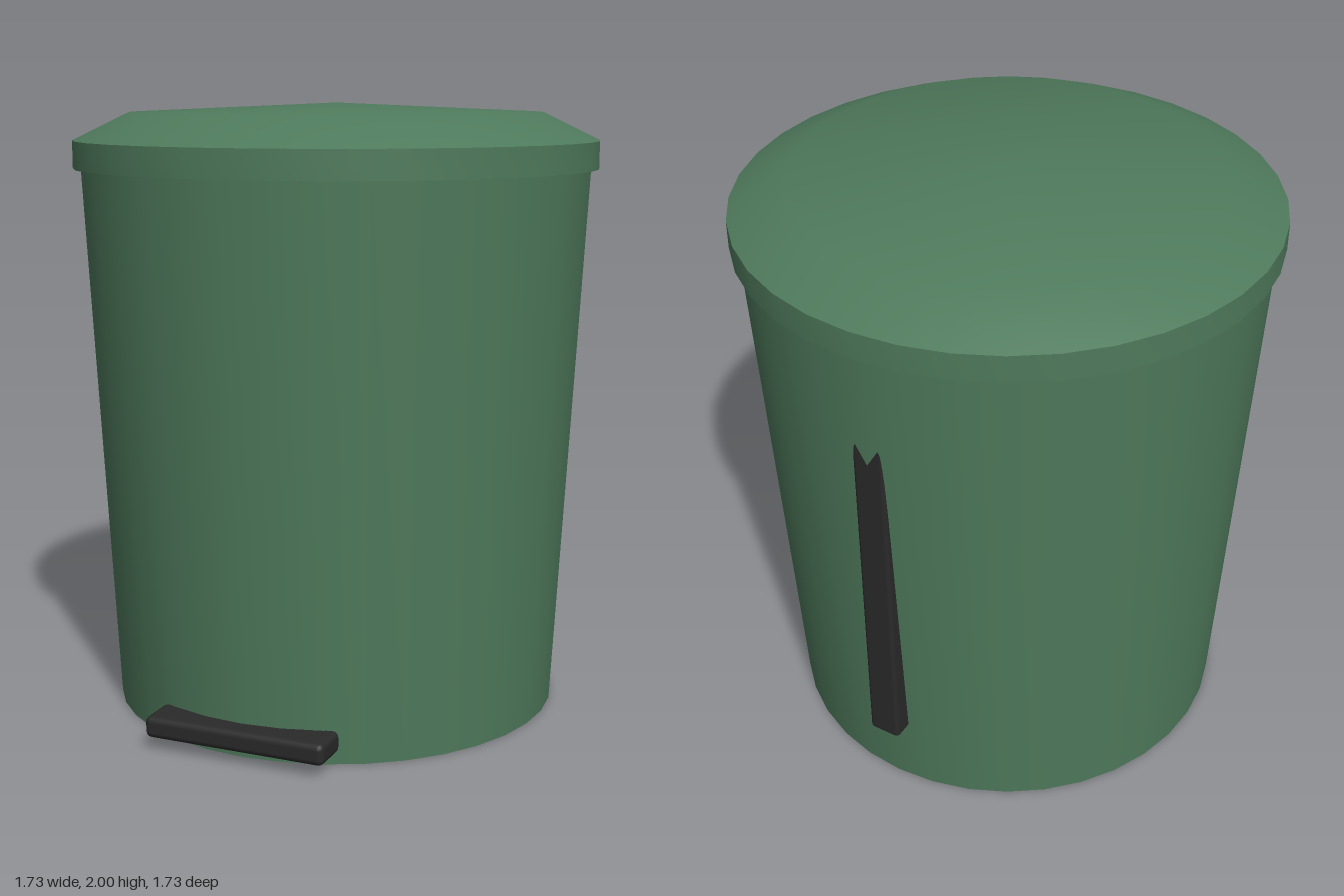
import * as THREE from 'three';
import { toCreasedNormals } from 'three/addons/utils/BufferGeometryUtils.js';
import { RoundedBoxGeometry } from 'three/addons/geometries/RoundedBoxGeometry.js';

const SIDES = 36;
const green = new THREE.MeshStandardMaterial({ color: 0x4f7a5c });
const black = new THREE.MeshStandardMaterial({ color: 0x2a2a2a });

// Turned part from [radius, height] pairs, keeping sharp rims
function turned(name, profile) {
  const points = profile.map(([r, y]) => new THREE.Vector2(r, y));
  const geometry = toCreasedNormals(new THREE.LatheGeometry(points, SIDES), 0.6);
  const mesh = new THREE.Mesh(geometry, green);
  mesh.name = name;
  return mesh;
}

// Softly bevelled block given by its size and centre
function block(name, size, centre, bevel) {
  const mesh = new THREE.Mesh(new RoundedBoxGeometry(...size, 2, bevel), black);
  mesh.name = name;
  mesh.position.set(...centre);
  return mesh;
}

export function createModel() {
  const model = new THREE.Group();
  model.name = 'pedalBin';

  // Tapered bucket, closed at both ends
  model.add(turned('bucket', [[0, 0], [0.745, 0], [0.84, 1.8], [0, 1.8]]));

  // Lid: flat underside, upright skirt, sloping shoulder, shallow crown
  model.add(turned('lid', [[0, 1.79], [0.865, 1.79], [0.865, 1.88], [0.68, 1.97], [0, 2]]));

  // Foot pedal at the front
  model.add(block('pedal', [0.61, 0.07, 0.14], [0, 0.077, 0.75], 0.02));

  // Upright hinge bar at the back, sinking into the taper towards the top
  model.add(block('hingeBar', [0.11, 1.4, 0.1], [0, 0.95, -0.768], 0.015));

  return model;
}
